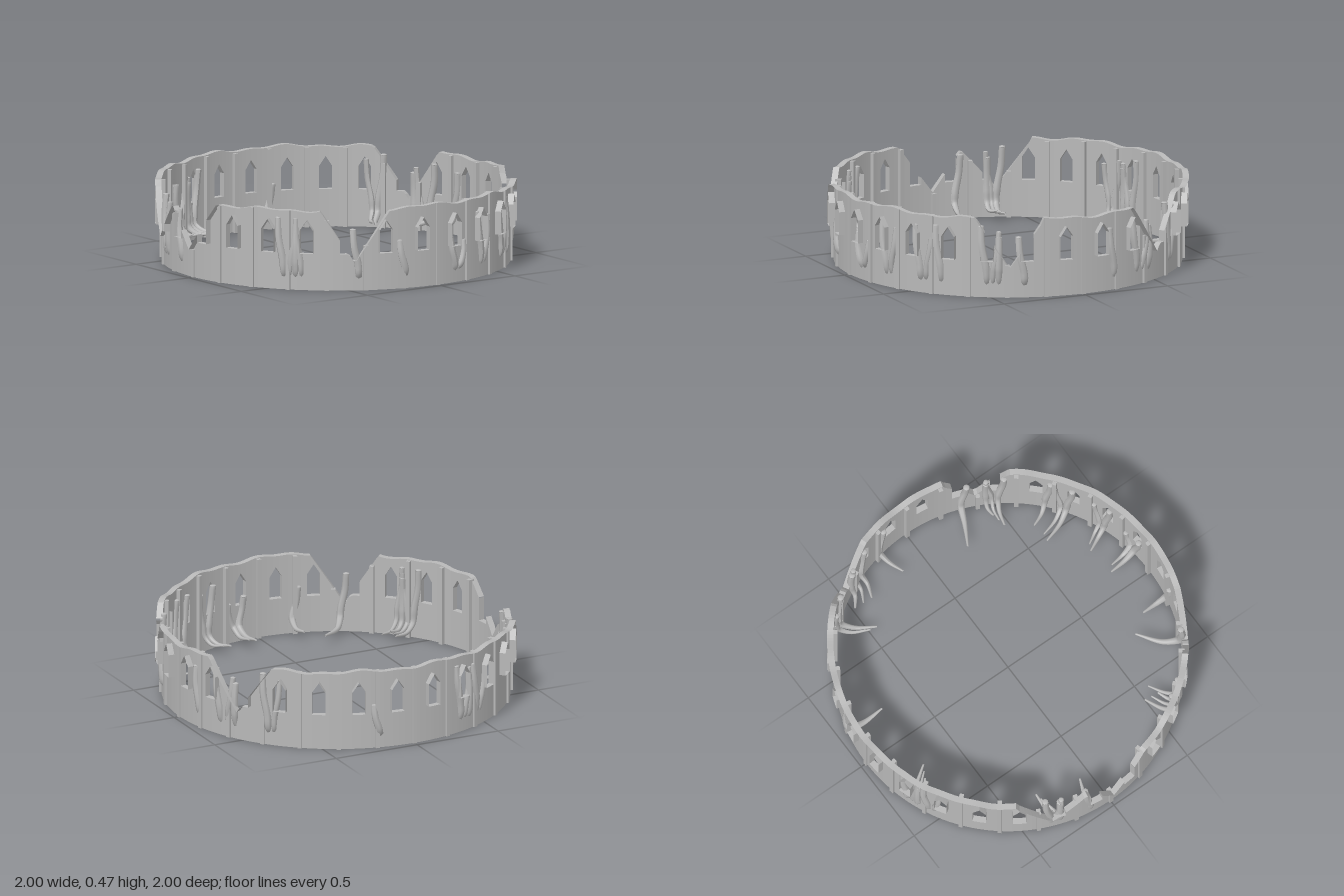
import * as THREE from 'three';

const SEGS = 28, SUB = 12, N = SEGS * SUB;   // bays, columns per bay, total columns
const R_IN = 0.965, R_OUT = 1.0;
const DEG = Math.PI / 180;
const SILL = 0.21, SPRING = 0.34, APEX = 0.395;

// Broken gaps: left angle and height, lowest angle and height, right angle and height
const GAPS = [
  [-33, 0.435, -21.5, 0.17, -10, 0.385],
  [-10, 0.385, 0, 0.16, 13, 0.44],
  [50, 0.435, 60.5, 0.16, 71.5, 0.44],
  [144, 0.45, 155, 0.17, 166, 0.44],
  [199, 0.44, 210, 0.17, 222, 0.45],
];

const polar = (deg, r, y) => new THREE.Vector3(Math.sin(deg * DEG) * r, y, Math.cos(deg * DEG) * r);

// Ragged top of the wall at an angle
function topAt(deg) {
  let a = ((deg % 360) + 360) % 360;
  if (a > 300) a -= 360;
  for (const [l, hl, m, low, r, hr] of GAPS) {
    if (a >= l && a <= m) return low + (hl - low) * (m - a) / (m - l);
    if (a > m && a <= r) return low + (hr - low) * (a - m) / (r - m);
  }
  return 0.452 - 0.007 * Math.cos(2 * a * DEG) + 0.007 * Math.sin(13 * a * DEG + 1) + 0.005 * Math.sin(29 * a * DEG);
}

function quadsToGeometry(quads) {
  const pos = [];
  for (const [a, b, c, d] of quads) for (const p of [a, b, c, a, c, d]) pos.push(p.x, p.y, p.z);
  const geo = new THREE.BufferGeometry();
  geo.setAttribute('position', new THREE.Float32BufferAttribute(pos, 3));
  geo.computeVertexNormals();
  return geo;
}

// Thin inner wall, its ragged top ledge and the window reveals
function buildWall() {
  const sheet = [], ledge = [], reveals = [];
  const step = 360 / N;
  const arch = (k) => APEX - (APEX - SPRING) * Math.abs(k - 6) / 2;
  const panel = (a0, a1, l0, l1, h0, h1) => sheet.push([
    polar(a0, R_IN, l0), polar(a1, R_IN, l1), polar(a1, R_IN, h1), polar(a0, R_IN, h0)]);
  const strip = (list, a0, a1, y0, y1) => list.push([
    polar(a0, R_IN, y0), polar(a0, R_OUT, y0), polar(a1, R_OUT, y1), polar(a1, R_IN, y1)]);
  const jamb = (a, h) => reveals.push([
    polar(a, R_IN, SILL), polar(a, R_OUT, SILL), polar(a, R_OUT, h), polar(a, R_IN, h)]);
  for (let i = 0; i < N; i++) {
    const k = i % SUB, a0 = i * step, a1 = a0 + step;
    const t0 = topAt(a0), t1 = topAt(a1);
    if (k < 4 || k >= 8) {
      panel(a0, a1, 0, 0, t0, t1);
      strip(ledge, a0, a1, t0, t1);
      continue;
    }
    // Window column: wall below the sill, and above the arch if it still stands
    const s0 = Math.min(SILL, t0), s1 = Math.min(SILL, t1);
    panel(a0, a1, 0, 0, s0, s1);
    strip(reveals, a0, a1, s0, s1);
    const h0 = arch(k), h1 = arch(k + 1);
    if (t0 > h0 && t1 > h1) {
      panel(a0, a1, h0, h1, t0, t1);
      strip(ledge, a0, a1, t0, t1);
      strip(reveals, a0, a1, h0, h1);
    }
    if (k === 4 && t0 > SILL) jamb(a0, Math.min(SPRING, t0));
    if (k === 7 && t1 > SILL) jamb(a1, Math.min(SPRING, t1));
  }
  return { sheet, ledge, reveals };
}

// Tapered root: runs down the wall, then bends inward to a thin tip
function rootGeometry(topAngle, yTop, footAngle, reach, swing, radius) {
  const curve = new THREE.CatmullRomCurve3([
    polar(topAngle, 0.96, yTop),
    polar(topAngle + (footAngle - topAngle) * 0.2, 0.968, yTop * 0.72),
    polar(topAngle + (footAngle - topAngle) * 0.85, 0.965, yTop * 0.42),
    polar(footAngle, 0.955, 0.085),
    polar(footAngle + swing * 0.15, 0.955 - reach * 0.4, 0.05),
    polar(footAngle + swing, 0.955 - reach, 0.06),
  ]);
  const rings = 28, sides = 7;
  const geo = new THREE.TubeGeometry(curve, rings, radius, sides, false);
  const pos = geo.attributes.position, v = new THREE.Vector3();
  for (let i = 0; i <= rings; i++) {
    const t = i / rings, c = curve.getPointAt(t);
    const s = t < 0.5 ? 0.85 + 0.3 * t : 1 - 1.5 * (t - 0.5);
    for (let j = 0; j <= sides; j++) {
      const n = i * (sides + 1) + j;
      v.fromBufferAttribute(pos, n).sub(c).multiplyScalar(s).add(c);
      pos.setXYZ(n, v.x, v.y, v.z);
    }
  }
  geo.computeVertexNormals();
  return geo;
}

// Root clusters: angle, count, spread of the feet, top height, reach inward, swing of the tips
const CLUSTERS = [
  [-7.5, 1, 0, 0.36, 0.17, 2],
  [-20, 3, 3, 0.4, 0.17, -3],
  [-69, 3, 4, 0.39, 0.2, -3],
  [-62, 2, 2, 0.37, 0.1, -2],
  [258, 1, 0, 0.25, 0.21, -3],
  [221.5, 2, 2, 0.41, 0.2, -3],
  [205, 3, 6, 0.38, 0.11, 5],
  [192, 1, 0, 0.35, 0.16, -1],
  [160, 1, 0, 0.34, 0.23, 2],
  [149.5, 3, 4, 0.4, 0.14, -2],
  [132, 1, 0, 0.39, 0.13, 2],
  [125.5, 2, 2, 0.38, 0.2, 3],
  [111.5, 2, 2, 0.37, 0.15, -1],
  [98.5, 2, 2, 0.26, 0.17, 0],
  [78, 1, 0, 0.27, 0.15, -2],
  [62, 1, 0, 0.34, 0.23, 6],
  [40, 4, 6, 0.4, 0.17, 1.5],
];

export function createModel() {
  const model = new THREE.Group();
  model.name = 'ruinedRingWall';
  const stone = new THREE.MeshStandardMaterial({ color: 0xb8b8b8, side: THREE.DoubleSide });
  stone.name = 'grey stone';
  const add = (geo, name, parent = model) => {
    const mesh = new THREE.Mesh(geo, stone);
    mesh.name = name;
    parent.add(mesh);
    return mesh;
  };

  const { sheet, ledge, reveals } = buildWall();
  add(quadsToGeometry(sheet), 'wall');
  add(quadsToGeometry(ledge), 'brokenTopLedge');
  add(quadsToGeometry(reveals), 'windowReveals');

  // Slim pilasters between the windows, cut off at the broken top
  const pilasters = new THREE.Group();
  pilasters.name = 'pilasters';
  model.add(pilasters);
  for (let i = 0; i < SEGS; i++) {
    const a = i * 360 / SEGS, h = topAt(a) - 0.005;
    const pilaster = add(new THREE.BoxGeometry(0.024, h, 0.034), 'pilaster', pilasters);
    pilaster.position.copy(polar(a, 0.96, h / 2));
    pilaster.rotation.y = a * DEG;
  }

  // Roots creeping down the wall and in across the floor, with closed top ends
  const roots = new THREE.Group();
  roots.name = 'roots';
  model.add(roots);
  for (const [angle, count, spread, yTop, reach, swing] of CLUSTERS) {
    for (let k = 0; k < count; k++) {
      const foot = angle + (count > 1 ? spread * (k / (count - 1) - 0.5) : 0);
      const top = foot + ((k * 2) % 3 - 1) * 2;
      const y = yTop - 0.03 * (k % 3);
      const radius = k % 2 ? 0.018 : 0.022;
      add(rootGeometry(top, y, foot, reach - 0.03 * (k % 3), swing, radius), 'root', roots);
      const cap = add(new THREE.SphereGeometry(radius * 0.85, 8, 5), 'rootEnd', roots);
      cap.scale.y = 0.3;
      cap.position.copy(polar(top, 0.96, y));
    }
  }
  return model;
}
